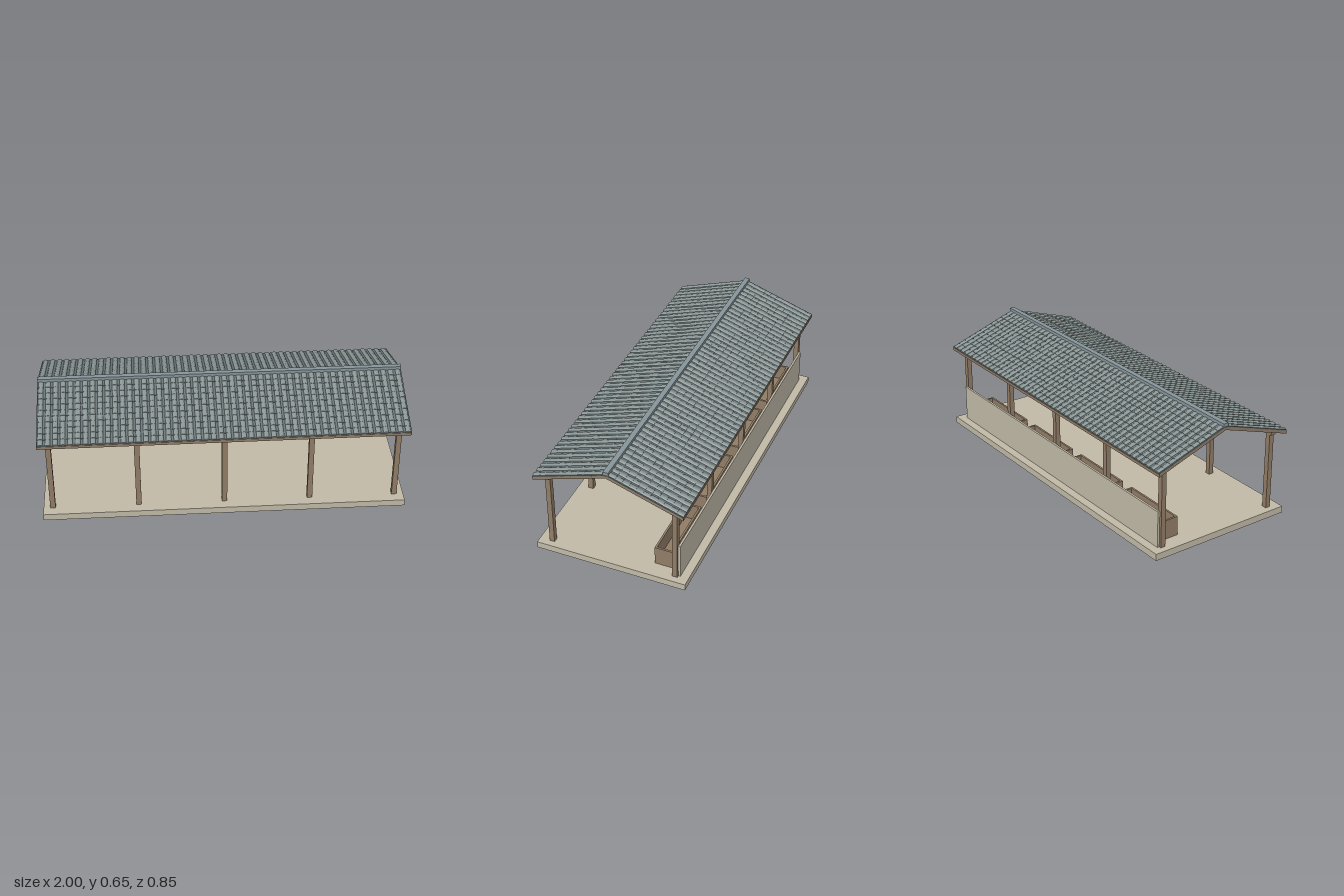
import * as THREE from 'three';
import { mergeGeometries } from 'three/addons/utils/BufferGeometryUtils.js';

const material = (name, color, side = THREE.FrontSide) => {
  const m = new THREE.MeshStandardMaterial({ color, side });
  m.name = name;
  return m;
};

export function createModel() {
  const model = new THREE.Group();
  model.name = 'openShelter';

  const stone = material('paleStone', 0xc0b9a7);
  const wood = material('agedWood', 0x907c66);
  const tile = material('greyTile', 0x8a9694, THREE.DoubleSide);
  const pan = material('darkTile', 0x667276);
  const ridge = material('ridgeTile', 0x86959a);

  const add = (name, geometry, mat, parent = model) => {
    const mesh = new THREE.Mesh(geometry, mat);
    mesh.name = name;
    parent.add(mesh);
    return mesh;
  };
  // Box given by its lower and upper limits on each axis
  const span = (x0, x1, y0, y1, z0, z1) =>
    new THREE.BoxGeometry(x1 - x0, y1 - y0, z1 - z0)
      .translate((x0 + x1) / 2, (y0 + y1) / 2, (z0 + z1) / 2);

  // Floor slab and low back wall
  const floorY = 0.038;
  add('floorSlab', span(-0.995, 0.995, 0, floorY, -0.425, 0.425), stone);
  add('backWall', span(-0.945, 0.945, floorY, 0.243, -0.379, -0.367), stone);

  // Two rows of posts, each carrying a long beam
  for (const [side, z] of [['front', 0.354], ['back', -0.353]]) {
    for (let i = 0; i < 5; i++) {
      const x = -0.944 + i * 0.472;
      add(side + 'Post', span(x - 0.0145, x + 0.0145, floorY, 0.48, z - 0.014, z + 0.014), wood);
    }
    add(side + 'Beam', span(-0.97, 0.97, 0.472, 0.493, z - 0.015, z + 0.015), wood);
  }

  // Open feeding troughs between the back posts
  for (let i = 0; i < 4; i++) {
    const trough = new THREE.Group();
    trough.name = 'trough';
    trough.position.x = -0.708 + i * 0.472;
    model.add(trough);
    const w = 0.195, t = 0.011, top = 0.146, z0 = -0.32, z1 = -0.217;
    add('troughFloor', span(-w, w, floorY, floorY + 0.015, z0, z1), wood, trough);
    add('troughFront', span(-w, w, floorY, top, z1 - t, z1), wood, trough);
    add('troughBack', span(-w, w, floorY, top, z0, z0 + t), wood, trough);
    for (const s of [-1, 1]) {
      add('troughEnd', span(-t / 2, t / 2, floorY, top, z0 + t, z1 - t)
        .translate(s * (w - t / 2), 0, 0), wood, trough);
    }
  }

  // Roof deck: a chevron section swept along x
  const section = new THREE.Shape([
    [-0.418, 0.473], [0, 0.613], [0.418, 0.473],
    [0.418, 0.489], [0, 0.629], [-0.418, 0.489],
  ].map(([z, y]) => new THREE.Vector2(z, y)));
  add('roofDeck', new THREE.ExtrudeGeometry(section, { depth: 2, bevelEnabled: false })
    .translate(0, 0, -1).rotateY(Math.PI / 2), wood);

  // Overlapping rows of dark pans and rounded cover tiles on each slope
  const rows = 11, columns = 50;
  const start = 0.012, length = 0.427, step = length / rows, pitch = 2 / columns;
  const tileLength = step * 1.12;
  const coverTile = mergeGeometries([
    new THREE.CylinderGeometry(1, 1, tileLength, 6, 1, true, -Math.PI / 2, Math.PI)
      .rotateX(-Math.PI / 2),
    new THREE.CircleGeometry(1, 6, 0, Math.PI).translate(0, 0, tileLength / 2),
  ]).scale(0.0145, 0.008, 1).rotateX(-0.06);

  const covers = [], pans = [];
  for (let r = 0; r < rows; r++) {
    const z = start + (r + 1) * step - tileLength / 2;
    pans.push(new THREE.BoxGeometry(2, 0.006, tileLength).rotateX(-0.04).translate(0, 0.0025, z));
    for (let c = 0; c < columns; c++) {
      covers.push(coverTile.clone().translate(-1 + (c + 0.5) * pitch, 0.003, z));
    }
  }
  const coverRows = mergeGeometries(covers);
  const panRows = mergeGeometries(pans);

  for (const [name, turn] of [['frontTiles', 0], ['backTiles', Math.PI]]) {
    const half = new THREE.Group();
    half.name = name;
    half.rotation.y = turn;
    const slope = new THREE.Group();
    slope.name = name + 'Slope';
    slope.position.y = 0.629;
    slope.rotation.x = Math.atan2(0.14, 0.418);
    add('panTiles', panRows, pan, slope);
    add('coverTiles', coverRows, tile, slope);
    half.add(slope);
    model.add(half);
  }

  // Ridge cap along the top
  add('ridgeCap', span(-1, 1, 0.631, 0.65, -0.0145, 0.0145), ridge);

  return model;
}
